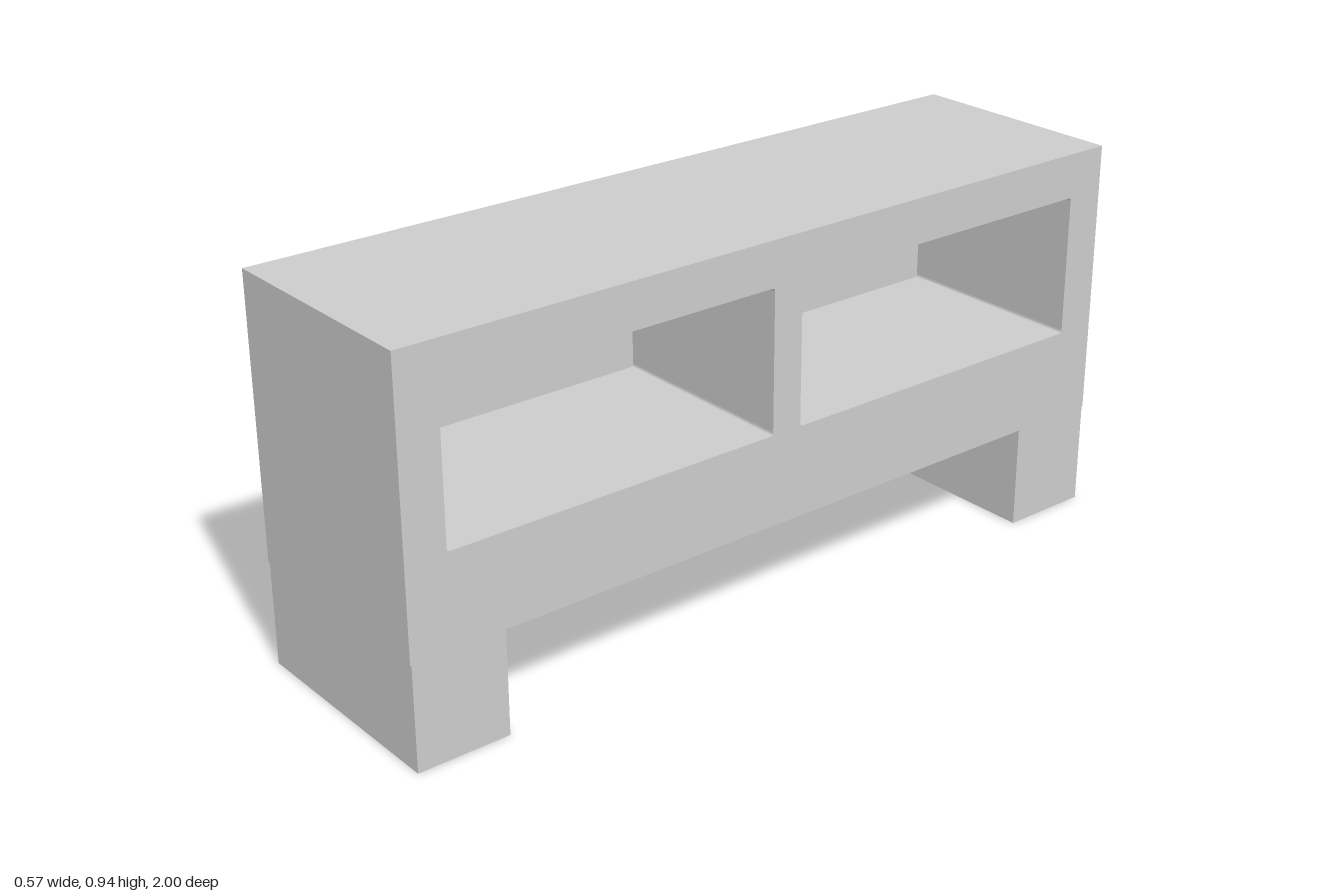
import * as THREE from 'three';

const W = 0.57, L = 2, TOP = 0.94, BASE = 0.255, BACK = 0.065;

// Rectangle with slightly softened corners, for the cubby openings
function roundedHole(x0, x1, y0, y1, r) {
  const p = new THREE.Path();
  p.moveTo(x0 + r, y0);
  p.lineTo(x1 - r, y0);
  p.quadraticCurveTo(x1, y0, x1, y0 + r);
  p.lineTo(x1, y1 - r);
  p.quadraticCurveTo(x1, y1, x1 - r, y1);
  p.lineTo(x0 + r, y1);
  p.quadraticCurveTo(x0, y1, x0, y1 - r);
  p.lineTo(x0, y0 + r);
  p.quadraticCurveTo(x0, y0, x0 + r, y0);
  return p;
}

export function createModel() {
  const group = new THREE.Group();
  group.name = 'cabinet';
  const material = new THREE.MeshStandardMaterial({ color: 0xcccccc });
  const add = (name, geometry, x = 0, y = 0, z = 0) => {
    const mesh = new THREE.Mesh(geometry, material);
    mesh.name = name;
    mesh.position.set(x, y, z);
    group.add(mesh);
  };

  // Cabinet body: long frame with two cubbies, open towards +x
  const frame = new THREE.Shape();
  frame.moveTo(-L / 2, BASE);
  frame.lineTo(L / 2, BASE);
  frame.lineTo(L / 2, TOP);
  frame.lineTo(-L / 2, TOP);
  frame.closePath();
  for (const [a, b] of [[-0.9, -0.04], [0.04, 0.9]]) {
    frame.holes.push(roundedHole(a, b, 0.48, 0.83, 0.008));
  }
  const body = new THREE.ExtrudeGeometry(frame, { depth: W - BACK, bevelEnabled: false, curveSegments: 3 });
  body.rotateY(Math.PI / 2);
  add('cabinetBody', body, -W / 2 + BACK);

  // Solid panel closing the cubbies
  add('backPanel', new THREE.BoxGeometry(BACK, TOP - BASE, L), -W / 2 + BACK / 2, (TOP + BASE) / 2);

  // Block legs, set in a hair from the ends
  for (const [name, side] of [['frontLeg', 1], ['backLeg', -1]]) {
    add(name, new THREE.BoxGeometry(W, BASE, 0.23), 0, BASE / 2, side * 0.882);
  }
  return group;
}
